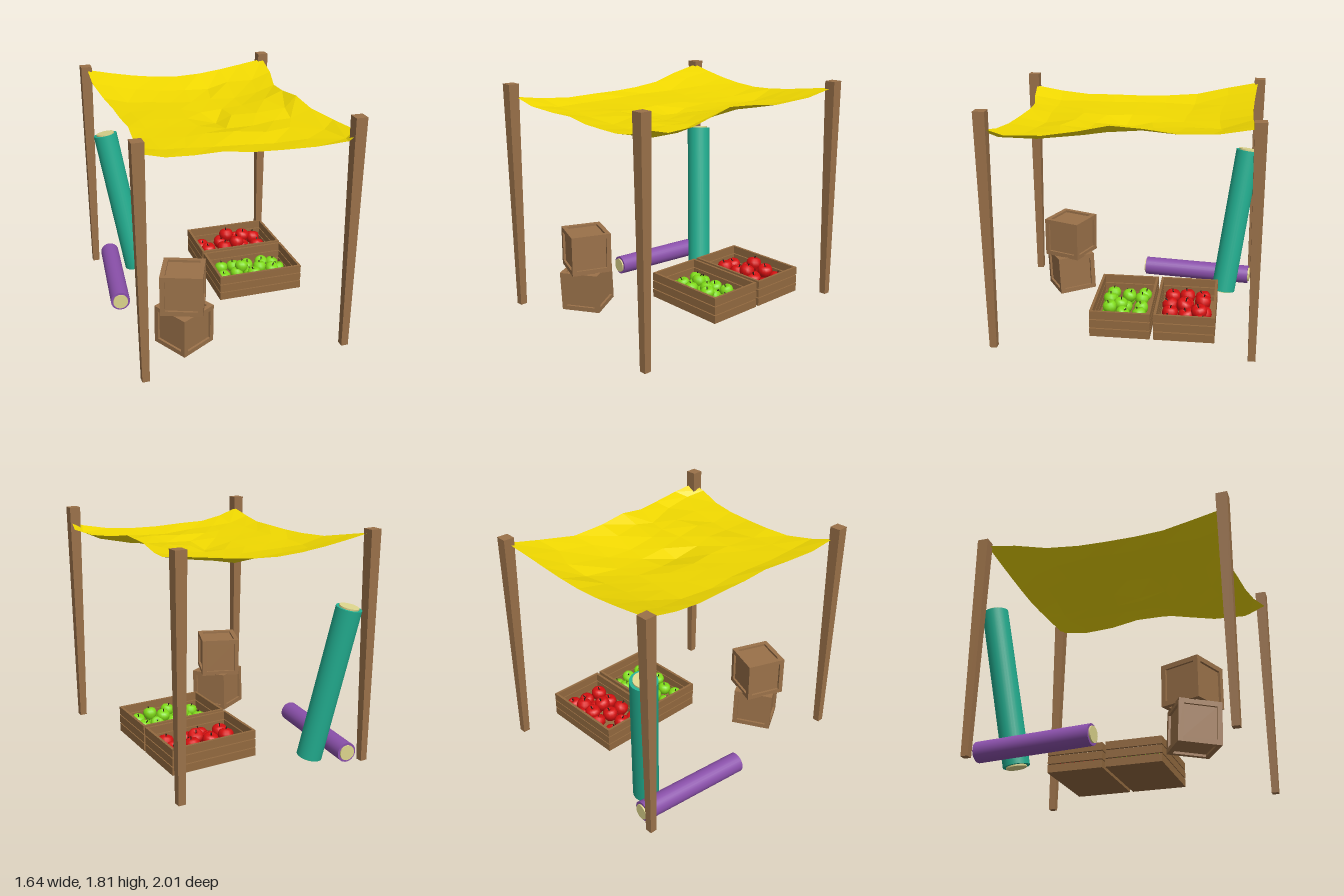
import * as THREE from 'three';

const mat = (color, extra = {}) => new THREE.MeshStandardMaterial({ color, ...extra });
const wood = mat(0x9a7149, { flatShading: true });
const slatWood = mat(0x92693f, { flatShading: true });
const cloth = mat(0xf0d800, { flatShading: true, side: THREE.DoubleSide });
const cream = mat(0xdcd48c);
const stemMat = mat(0x2c2015);

// Small seeded generator
let seed = 7;
const rand = () => (seed = (seed * 16807) % 2147483647) / 2147483647;
const jitter = (a) => (rand() * 2 - 1) * a;

function add(parent, name, geometry, material, x = 0, y = 0, z = 0) {
  const mesh = new THREE.Mesh(geometry, material);
  mesh.name = name;
  mesh.position.set(x, y, z);
  parent.add(mesh);
  return mesh;
}

// Stand an object, modelled along y about its middle, between two points
function span(object, bottom, top) {
  const a = new THREE.Vector3(...bottom), b = new THREE.Vector3(...top);
  object.position.copy(a).add(b).multiplyScalar(0.5);
  object.quaternion.setFromUnitVectors(new THREE.Vector3(0, 1, 0), b.sub(a).normalize());
}
const distance = (a, b) => new THREE.Vector3(...a).distanceTo(new THREE.Vector3(...b));

// Square post, narrower at the foot
function post(parent, name, bottom, top) {
  const g = new THREE.CylinderGeometry(0.043 * Math.SQRT2, 0.027 * Math.SQRT2, distance(bottom, top), 4);
  g.rotateY(Math.PI / 4);
  span(add(parent, name, g, wood), bottom, top);
}

// Cloth roll with a pale core showing at both ends
function roll(parent, name, radius, color, bottom, top) {
  const group = new THREE.Group();
  group.name = name;
  const length = distance(bottom, top);
  add(group, 'rolledCloth', new THREE.CylinderGeometry(radius, radius, length, 28), mat(color));
  add(group, 'core', new THREE.CylinderGeometry(radius * 0.77, radius * 0.77, length + 0.024, 28), cream);
  span(group, bottom, top);
  parent.add(group);
}

// Closed box: recessed panels inside a frame of twelve beams
function closedBox(parent, name, size, pos, rot) {
  const group = new THREE.Group();
  group.name = name;
  const w = 0.036, o = (size - w) / 2, inner = size - 0.036;
  add(group, 'panels', new THREE.BoxGeometry(inner, inner, inner), wood);
  for (const i of [-1, 1]) for (const j of [-1, 1]) {
    add(group, 'uprightBeam', new THREE.BoxGeometry(w, size, w), wood, i * o, 0, j * o);
    add(group, 'sideBeam', new THREE.BoxGeometry(size - 2 * w, w, w), wood, 0, i * o, j * o);
    add(group, 'depthBeam', new THREE.BoxGeometry(w, w, size - 2 * w), wood, i * o, j * o, 0);
  }
  group.position.set(...pos);
  group.rotation.set(...rot);
  parent.add(group);
}

// Apple with a dimple at each pole
const appleShape = new THREE.LatheGeometry([
  [0, -0.04], [0.018, -0.048], [0.038, -0.036], [0.053, -0.006],
  [0.053, 0.018], [0.042, 0.038], [0.022, 0.046], [0.008, 0.038], [0, 0.03],
].map(([x, y]) => new THREE.Vector2(x, y)), 14);
const stemShape = new THREE.CylinderGeometry(0.005, 0.003, 0.03, 5);

function apple(parent, material, scale, x, y, z) {
  const group = new THREE.Group();
  group.name = 'apple';
  add(group, 'appleBody', appleShape, material);
  add(group, 'stem', stemShape, stemMat, 0.003, 0.043, 0).rotation.z = -0.25;
  group.position.set(x, y, z);
  group.rotation.set(jitter(0.35), rand() * 6, jitter(0.35));
  group.scale.setScalar(scale);
  parent.add(group);
}

// Open slatted crate with a layer of apples and a few on top
function fruitCrate(parent, name, color, z, scale, columns, topSpots) {
  const group = new THREE.Group();
  group.name = name;
  const W = 0.69, D = 0.45, t = 0.02;
  add(group, 'crateFloor', new THREE.BoxGeometry(W - 2 * t, t, D - 2 * t), slatWood, 0, 0.01, 0);
  for (let row = 0; row < 3; row++) {
    const y = 0.031 + row * 0.07;
    for (const s of [-1, 1]) {
      add(group, 'longSlat', new THREE.BoxGeometry(W, 0.062, t), slatWood, 0, y, s * (D - t) / 2);
      add(group, 'shortSlat', new THREE.BoxGeometry(t, 0.062, D - 2 * t), slatWood, s * (W - t) / 2, y, 0);
    }
  }
  const skin = mat(color, { roughness: 0.7 });
  const step = 0.47 / (columns - 1);
  for (let i = 0; i < columns; i++) for (let j = 0; j < 3; j++)
    apple(group, skin, scale, -0.235 + i * step + jitter(0.015), 0.07 + rand() * 0.03, (j - 1) * 0.125 + jitter(0.012));
  for (const [x, dz] of topSpots) apple(group, skin, scale, x, 0.148 + jitter(0.012), dz);
  group.position.set(0.3625, 0.12, z);
  parent.add(group);
}

// Sagging canopy: four edge lines blended into a patch, then crumpled
function canopy(parent) {
  const edge = (pts) => {
    const v = pts.map((p) => new THREE.Vector3(...p));
    return (t) => {
      const k = Math.min(Math.floor(t * (v.length - 1)), v.length - 2);
      return v[k].clone().lerp(v[k + 1], t * (v.length - 1) - k);
    };
  };
  const BL = [-0.75, 1.77, -0.945], BR = [0.78, 1.75, -0.935], FL = [-0.755, 1.70, 0.92], FR = [0.77, 1.70, 0.965];
  const back = edge([BL, [-0.5, 1.72, -0.925], [-0.25, 1.68, -0.91], [0, 1.665, -0.905],
    [0.25, 1.675, -0.905], [0.5, 1.71, -0.915], BR]);
  const front = edge([FL, [-0.58, 1.65, 0.9], [-0.38, 1.625, 0.855], [-0.18, 1.625, 0.845],
    [0.05, 1.61, 0.88], [0.26, 1.61, 0.9], [0.46, 1.62, 0.935], [0.67, 1.655, 0.99], FR]);
  const left = edge([BL, [-0.755, 1.72, -0.7], [-0.72, 1.67, -0.45], [-0.695, 1.655, -0.2],
    [-0.69, 1.65, 0.02], [-0.68, 1.655, 0.25], [-0.7, 1.65, 0.47], [-0.74, 1.665, 0.7], FL]);
  const right = edge([BR, [0.755, 1.70, -0.68], [0.68, 1.67, -0.4], [0.65, 1.695, -0.15],
    [0.67, 1.715, 0.08], [0.7, 1.675, 0.3], [0.77, 1.655, 0.53], [0.81, 1.66, 0.79], FR]);
  // Lowest height the cloth reaches along each column and row
  const columnFloor = [0, 1.62, 1.61, 1.60, 1.55, 1.583, 1.60, 1.60];
  const rowFloor = [0, 1.60, 1.592, 1.58, 1.55, 1.58, 1.608, 1.582];
  const N = 8, positions = [], index = [];
  for (let j = 0; j <= N; j++) for (let i = 0; i <= N; i++) {
    const u = i / N, v = j / N, p = new THREE.Vector3();
    p.addScaledVector(back(u), 1 - v).addScaledVector(front(u), v);
    p.addScaledVector(left(v), 1 - u).addScaledVector(right(v), u);
    [[BL, (1 - u) * (1 - v)], [BR, u * (1 - v)], [FL, (1 - u) * v], [FR, u * v]]
      .forEach(([c, w]) => p.addScaledVector(new THREE.Vector3(...c), -w));
    if (i % N && j % N) {
      p.add(new THREE.Vector3(jitter(0.035), jitter(0.022) - 0.01, jitter(0.04)));
      p.y = Math.max(p.y, columnFloor[i], rowFloor[j]);
      if (i === 4 && j === 4) p.y = 1.548;
    }
    positions.push(p.x, p.y, p.z);
    if (i < N && j < N) {
      const a = j * (N + 1) + i, b = a + 1, c = a + N + 1, d = c + 1;
      index.push(a, c, b, b, c, d);
    }
  }
  const g = new THREE.BufferGeometry();
  g.setAttribute('position', new THREE.Float32BufferAttribute(positions, 3));
  g.setIndex(index);
  g.computeVertexNormals();
  add(parent, 'canopy', g, cloth);
}

export function createModel() {
  const model = new THREE.Group();
  model.name = 'marketStall';

  post(model, 'backRightPost', [-0.77, 0.02, -0.962], [-0.76, 1.8, -0.96]);
  post(model, 'backLeftPost', [0.788, 0.05, -0.96], [0.775, 1.8, -0.945]);
  post(model, 'frontRightPost', [-0.778, 0.015, 0.953], [-0.78, 1.8, 0.945]);
  post(model, 'frontLeftPost', [0.757, 0.015, 0.955], [0.752, 1.815, 0.959]);
  canopy(model);

  closedBox(model, 'lowerBox', 0.312, [-0.385, 0.19, 0.585], [0.045, Math.PI / 6, 0]);
  closedBox(model, 'upperBox', 0.314, [-0.387, 0.498, 0.582], [0, -0.37, 0]);

  fruitCrate(model, 'greenAppleCrate', 0x80dc18, 0.0125, 1, 5,
    [[-0.02, 0.12], [0.06, 0.03], [0.14, 0.1], [-0.08, -0.02]]);
  fruitCrate(model, 'redAppleCrate', 0xd81010, -0.4625, 1.14, 4,
    [[-0.02, -0.12], [0.12, -0.1], [0.03, 0.02]]);

  roll(model, 'leaningRoll', 0.098, 0x22ae90, [-0.45, 0.028, -0.725], [-0.64, 1.22, -0.888]);
  roll(model, 'lyingRoll', 0.077, 0x8a50aa, [-0.645, 0.092, -0.935], [-0.74, 0.092, -0.035]);
  return model;
}
